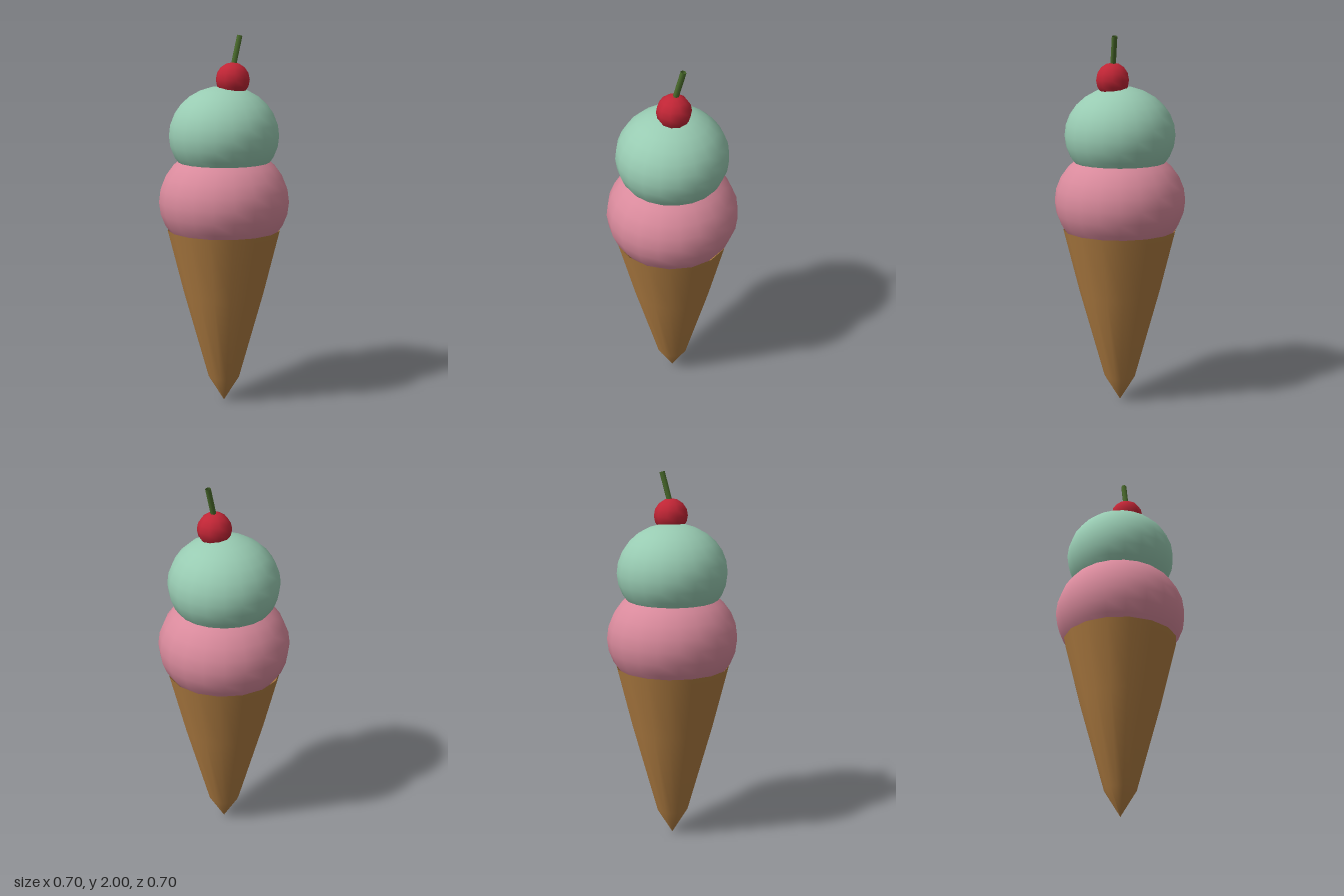
import * as THREE from 'three';

const material = (color, side = THREE.FrontSide) => new THREE.MeshStandardMaterial({ color, side });

function addPart(group, name, geometry, mat) {
  const mesh = new THREE.Mesh(geometry, mat);
  mesh.name = name;
  group.add(mesh);
  return mesh;
}

// Slightly squashed ball of ice cream
function addScoop(group, name, radius, height, y, color) {
  const scoop = addPart(group, name, new THREE.SphereGeometry(radius, 20, 14), material(color));
  scoop.scale.y = height / radius;
  scoop.position.y = y;
}

export function createModel() {
  const group = new THREE.Group();
  group.name = 'iceCreamCone';

  // Wafer cone: pointed tip, then gently flaring wall, open at the rim
  const profile = [[0, 0], [0.085, 0.14], [0.218, 0.62], [0.305, 0.97]]
    .map(([r, y]) => new THREE.Vector2(r, y));
  addPart(group, 'waferCone', new THREE.LatheGeometry(profile, 16), material(0xb07d42, THREE.DoubleSide));

  // Two stacked scoops
  addScoop(group, 'lowerScoop', 0.35, 0.3, 1.123, 0xd98a9c);
  addScoop(group, 'upperScoop', 0.294, 0.26, 1.475, 0x98cbb2);

  // Cherry, set off centre on the top scoop
  const cherry = addPart(group, 'cherry', new THREE.SphereGeometry(0.09, 10, 8), material(0xc02535));
  cherry.position.set(0.042, 1.769, 0.027);
  cherry.rotation.y = Math.PI / 2;

  // Leaning stem: a thin open tube
  const stemPath = new THREE.LineCurve3(
    new THREE.Vector3(0.041, 1.82, 0.026),
    new THREE.Vector3(0.083, 1.996, 0.002),
  );
  addPart(group, 'cherryStem', new THREE.TubeGeometry(stemPath, 1, 0.015, 6), material(0x4a6b2c, THREE.DoubleSide));

  return group;
}
